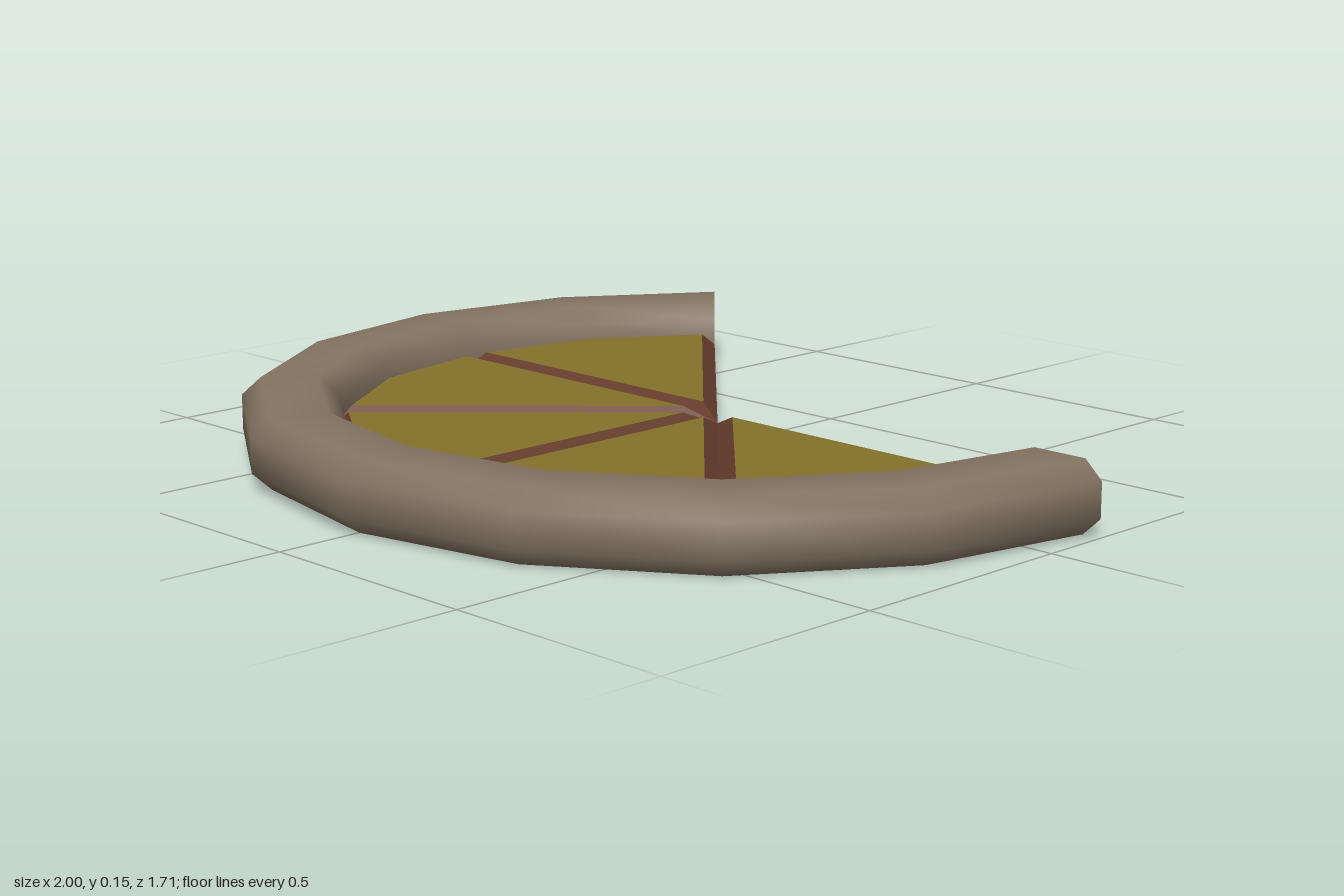
import * as THREE from 'three';

const SLICES = 5, STEP = Math.PI / 4, R_IN = 0.8, BASE_Y = 0.05, TOP_Y = 0.08;

const crustMat = new THREE.MeshStandardMaterial({ color: 0x857463, side: THREE.DoubleSide });
const sauceMat = new THREE.MeshStandardMaterial({ color: 0x663d2d, flatShading: true });
const cheeseMat = new THREE.MeshStandardMaterial({ color: 0x84712a, flatShading: true });

// Rounded rim cross-section (radius, height), from the bottom outwards and over
const rim = [
  [0.96, 0], [1, 0.037], [1, 0.11], [0.96, 0.147],
  [0.84, 0.147], [R_IN, 0.11], [R_IN, BASE_Y],
].map(([r, y]) => new THREE.Vector2(r, y));

function add(parent, name, geometry, material) {
  const mesh = new THREE.Mesh(geometry, material);
  mesh.name = name;
  parent.add(mesh);
  return mesh;
}

// Sweep a profile round the five remaining eighths
const sweep = (points) =>
  new THREE.LatheGeometry(points, SLICES * 2, -0.75 * Math.PI, SLICES * STEP);

// Point at radius r and angle a, measured from +x towards +z
const polar = (r, a, y) => [r * Math.cos(a), y, r * Math.sin(a)];

function quads(list) {
  const positions = [];
  for (const [a, b, c, d] of list) positions.push(...a, ...b, ...c, ...a, ...c, ...d);
  const g = new THREE.BufferGeometry();
  g.setAttribute('position', new THREE.Float32BufferAttribute(positions, 3));
  g.computeVertexNormals();
  return g;
}

export function createModel() {
  const model = new THREE.Group();
  model.name = 'pizza';
  const pie = new THREE.Group();
  pie.name = 'pie';
  pie.position.z = -0.146;
  model.add(pie);

  // Crust rim and flat dough underneath
  add(pie, 'crustRim', sweep(rim), crustMat);
  add(pie, 'doughBottom', sweep([new THREE.Vector2(0, 0), rim[0]]), crustMat);

  // Cut ends through dough and rim
  const section = new THREE.Shape([
    new THREE.Vector2(0, 0), ...rim, new THREE.Vector2(0, BASE_Y),
  ]);
  for (const a of [0, SLICES * STEP]) {
    add(pie, 'cutFace', new THREE.ShapeGeometry(section), crustMat).rotation.y = -a;
  }

  // Slices: bevelled sauce border around an inset cheese top
  const half = STEP / 2, inset = 0.354;
  const low = [
    polar(0, 0, BASE_Y), polar(R_IN, -half, BASE_Y),
    polar(R_IN, 0, BASE_Y), polar(R_IN, half, BASE_Y),
  ];
  const high = [
    polar(0.078, 0, TOP_Y), polar(0.774, -inset, TOP_Y),
    polar(0.78, 0, TOP_Y), polar(0.774, inset, TOP_Y),
  ];
  const sauce = quads(low.map((p, i) => {
    const j = (i + 1) % 4;
    return [p, high[i], high[j], low[j]];
  }));
  const cheese = quads([[high[0], high[3], high[2], high[1]]]);
  for (let k = 0; k < SLICES; k++) {
    const slice = new THREE.Group();
    slice.name = 'slice' + (k + 1);
    slice.rotation.y = -(k + 0.5) * STEP;
    add(slice, 'sauce', sauce, sauceMat);
    add(slice, 'cheese', cheese, cheeseMat);
    pie.add(slice);
  }
  return model;
}
